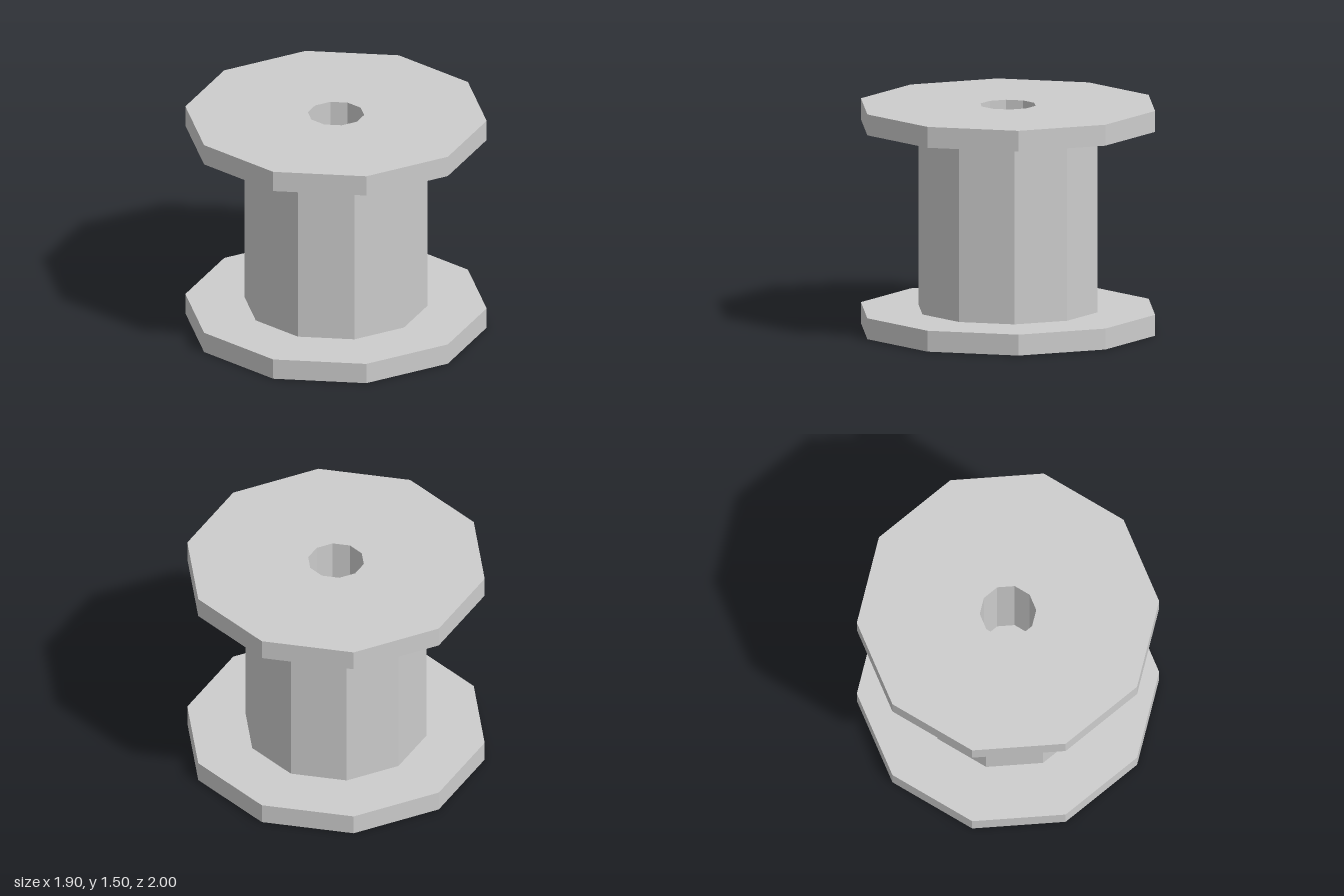
import * as THREE from 'three';

const SIDES = 10;
const HEIGHT = 1.505;
const THICK = 0.14;
const FLANGE_R = 1;
const DRUM_R = 0.608;
const BORE_R = 0.187;

// Faceted ten-sided surface of revolution from [radius, y] pairs.
function facetedLathe(name, profile, material) {
  const points = profile.map(([r, y]) => new THREE.Vector2(r, y));
  const geometry = new THREE.LatheGeometry(points, SIDES).toNonIndexed();
  geometry.computeVertexNormals();
  const mesh = new THREE.Mesh(geometry, material);
  mesh.name = name;
  return mesh;
}

export function createModel() {
  const model = new THREE.Group();
  model.name = 'spool';
  const grey = new THREE.MeshStandardMaterial({ color: 0xcccccc });
  grey.name = 'spool grey';

  const mid = HEIGHT / 2;
  const top = HEIGHT - THICK;

  // Wide end discs, open at the centre
  model.add(facetedLathe('bottomFlange', [
    [BORE_R, 0], [FLANGE_R, 0], [FLANGE_R, THICK], [DRUM_R, THICK],
  ], grey));
  model.add(facetedLathe('topFlange', [
    [DRUM_R, top], [FLANGE_R, top], [FLANGE_R, HEIGHT], [BORE_R, HEIGHT],
  ], grey));

  // Central drum between the discs
  model.add(facetedLathe('drum', [[DRUM_R, THICK], [DRUM_R, top]], grey));

  // Blind bores from each end, meeting at a closed middle
  model.add(facetedLathe('bottomBore', [[0, mid], [BORE_R, mid], [BORE_R, 0]], grey));
  model.add(facetedLathe('topBore', [[BORE_R, HEIGHT], [BORE_R, mid], [0, mid]], grey));

  return model;
}
